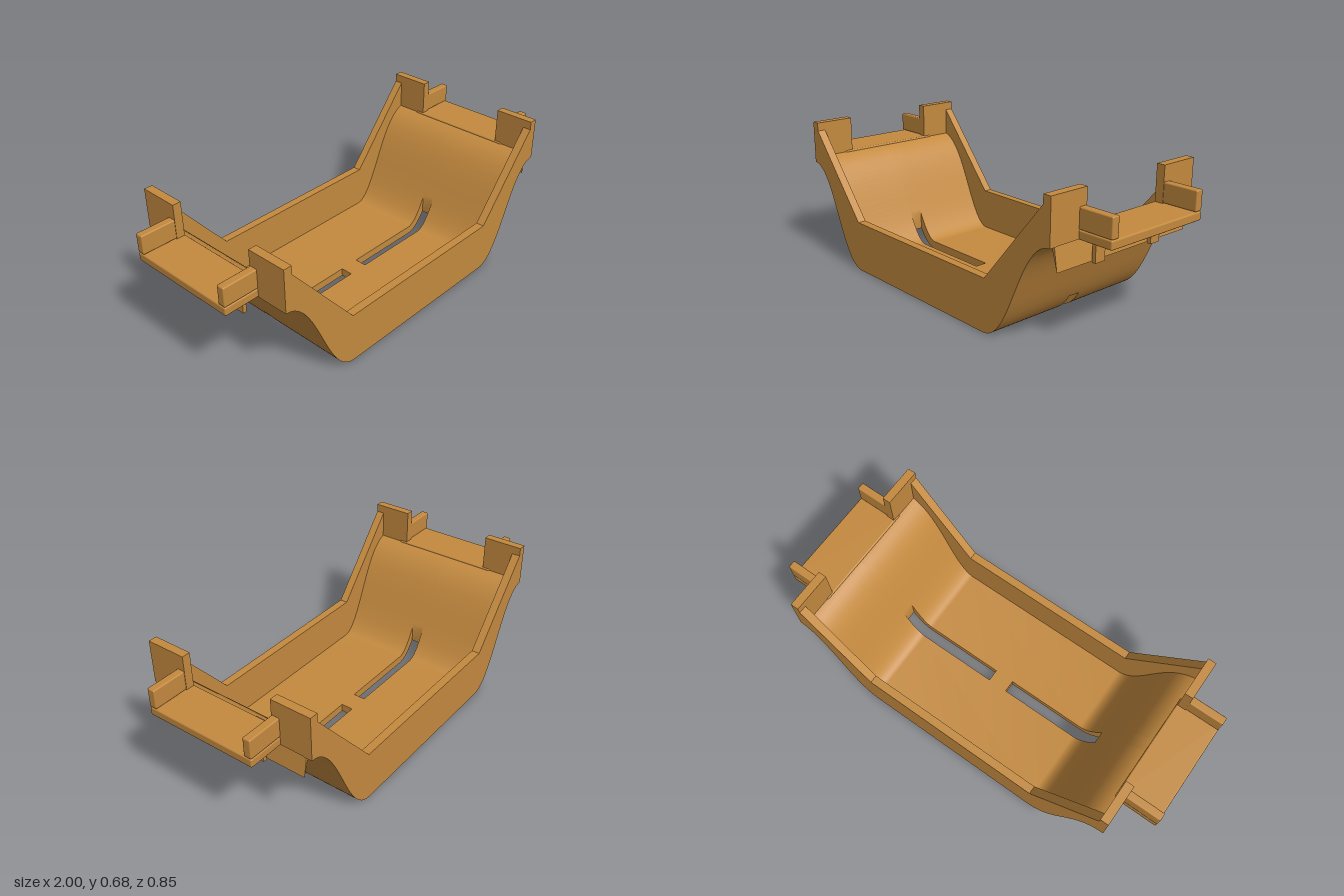
import * as THREE from 'three';
import { toCreasedNormals } from 'three/addons/utils/BufferGeometryUtils.js';
import { RoundedBoxGeometry } from 'three/addons/geometries/RoundedBoxGeometry.js';

const WALL = 0.04, HALF_X = 0.835, HALF_Z = 0.425, INNER_Z = HALF_Z - WALL;
const SLOT_Z = 0.03, SLOT_IN = 0.05, SLOT_OUT = 0.57;

export function createModel() {
  const model = new THREE.Group();
  model.name = 'cradleTray';
  const bronze = new THREE.MeshStandardMaterial({ color: 0xc48a3f });
  bronze.name = 'bronze';

  const add = (name, geometry, x = 0, y = 0, z = 0) => {
    const mesh = new THREE.Mesh(geometry, bronze);
    mesh.name = name;
    mesh.position.set(x, y, z);
    model.add(mesh);
  };

  // Extrude an outline from z0 to z1, smooth along curves and sharp at corners
  const slab = (name, points, z0, z1) => {
    const geometry = new THREE.ExtrudeGeometry(new THREE.Shape(points), { depth: z1 - z0, bevelEnabled: false });
    add(name, toCreasedNormals(geometry, 0.5), 0, 0, z0);
  };

  // Box given by its limits, optionally with softened edges
  const block = (name, x, y, z, radius = 0) => {
    const size = [x, y, z].map(([a, b]) => b - a);
    const centre = [x, y, z].map(([a, b]) => (a + b) / 2);
    add(name, radius ? new RoundedBoxGeometry(...size, 2, radius) : new THREE.BoxGeometry(...size), ...centre);
  };

  // S-shaped flank and its inward offset, mirrored into full profiles
  const v = (x, y) => new THREE.Vector2(x, y);
  const flank = new THREE.CubicBezierCurve(v(0.455, 0), v(0.625, 0), v(0.665, 0.475), v(HALF_X, 0.475));
  const outerHalf = [], innerHalf = [];
  const steps = 32;
  for (let i = 0; i <= steps; i++) {
    const p = flank.getPoint(i / steps), t = flank.getTangent(i / steps);
    outerHalf.push(p);
    innerHalf.push(v(p.x - t.y * WALL, p.y + t.x * WALL));
  }
  const mirrored = half => [...half.map(p => v(-p.x, p.y)).reverse(), ...half];
  const outer = mirrored(outerHalf), inner = mirrored(innerHalf);

  // Part of a profile between two x positions
  const clip = (line, x0, x1) => {
    const at = x => {
      const i = Math.max(1, line.findIndex(p => p.x >= x - 1e-6));
      const a = line[i - 1], b = line[i];
      return v(x, a.y + (b.y - a.y) * (x - a.x) / (b.x - a.x));
    };
    return [at(x0), ...line.filter(p => p.x > x0 + 1e-4 && p.x < x1 - 1e-4), at(x1)];
  };
  const shellOutline = (x0, x1) => [...clip(outer, x0, x1), ...clip(inner, x0, x1).reverse()];

  // Curved floor, with the centre strip broken by two slots
  slab('floorFront', shellOutline(-HALF_X, HALF_X), SLOT_Z, INNER_Z);
  slab('floorBack', shellOutline(-HALF_X, HALF_X), -INNER_Z, -SLOT_Z);
  slab('slotBridge', shellOutline(-SLOT_IN, SLOT_IN), -SLOT_Z, SLOT_Z);
  slab('floorLeftStrip', shellOutline(SLOT_OUT, HALF_X), -SLOT_Z, SLOT_Z);
  slab('floorRightStrip', shellOutline(-HALF_X, -SLOT_OUT), -SLOT_Z, SLOT_Z);

  // Front and back walls
  const wallOutline = [...outer,
    v(HALF_X, 0.68), v(0.795, 0.68), v(0.795, 0.64), v(0.463, 0.245),
    v(-0.463, 0.245), v(-0.795, 0.64), v(-0.795, 0.68), v(-HALF_X, 0.68)];
  slab('frontWall', wallOutline, INNER_Z, HALF_Z);
  slab('backWall', wallOutline, -HALF_Z, -INNER_Z);

  // Handles, corner posts and clips at both ends
  for (const [side, s] of [['left', 1], ['right', -1]]) {
    const span = (a, b, k) => (k > 0 ? [a, b] : [-b, -a]);
    block(side + 'HandlePlate', span(0.79, 1, s), [0.475, 0.515], [-0.271, 0.271], 0.007);
    for (const k of [1, -1]) {
      block(side + 'CornerPost', span(0.795, HALF_X, s), [0.477, 0.68], span(0.231, INNER_Z, k));
      block(side + 'HandleRail', span(0.83, 1, s), [0.516, 0.607], span(0.233, 0.271, k), 0.006);
      block(side + 'Clip', span(0.838, 0.856, s), [0.364, 0.48], span(0.14, 0.195, k));
    }
  }
  return model;
}
